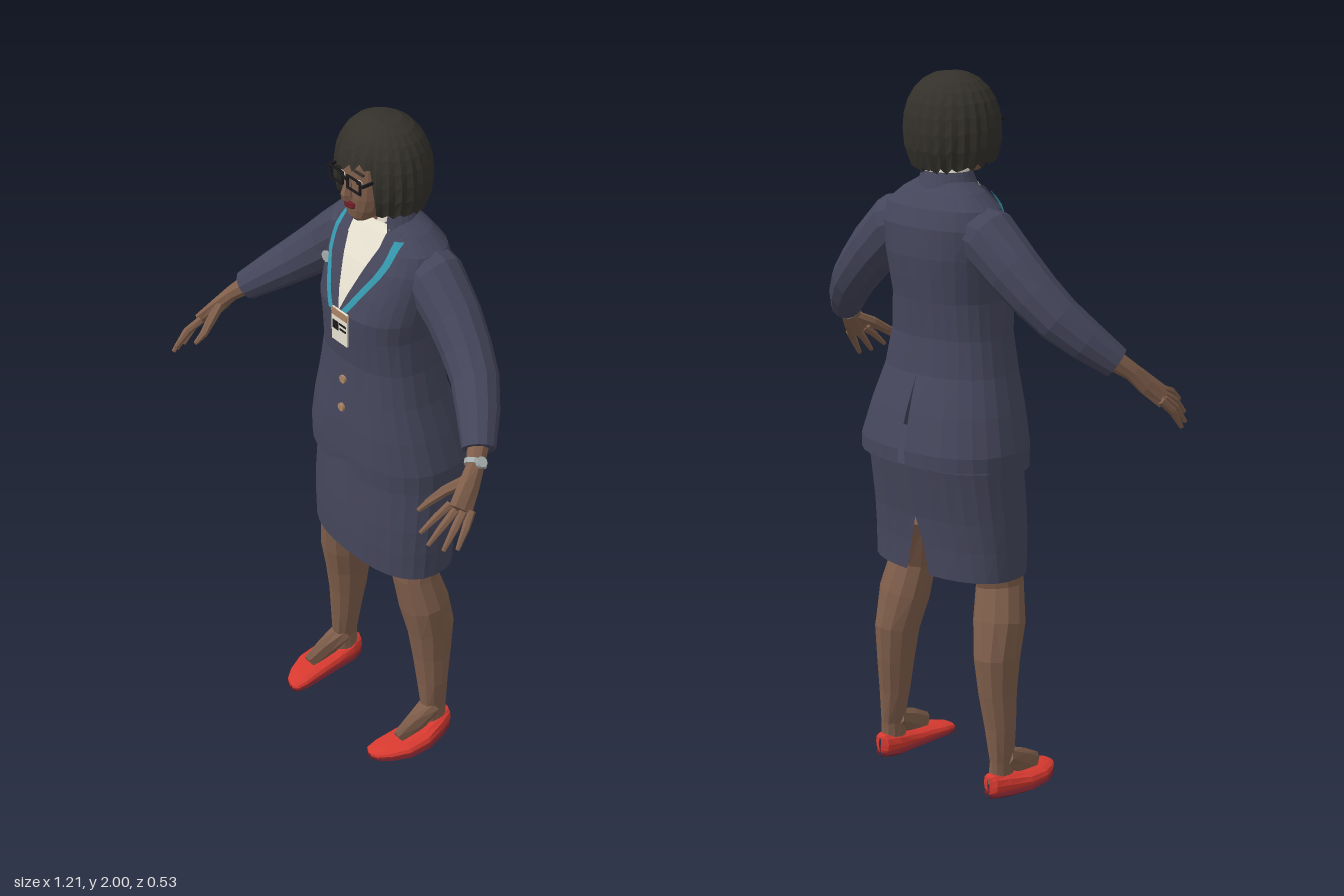
import * as THREE from 'three';

const mat = (name, color, side = THREE.FrontSide) =>
  Object.assign(new THREE.MeshStandardMaterial({ color, side }), { name });
const D = THREE.DoubleSide;

// Quad grid over u (to the right) and v (up), seen from its front, with flat facets
function grid(nu, nv, fn) {
  const pos = [], idx = [];
  for (let j = 0; j <= nv; j++) for (let i = 0; i <= nu; i++) pos.push(...fn(i / nu, j / nv, i, j));
  for (let j = 0; j < nv; j++) for (let i = 0; i < nu; i++) {
    const a = j * (nu + 1) + i, b = a + nu + 1;
    idx.push(a, a + 1, b + 1, a, b + 1, b);
  }
  const g = new THREE.BufferGeometry();
  g.setAttribute('position', new THREE.Float32BufferAttribute(pos, 3));
  g.setIndex(idx);
  const flat = g.toNonIndexed();
  flat.computeVertexNormals();
  return flat;
}

// Linear lookup in rows whose first entry is the key
function at(rows, k) {
  let i = 0;
  while (i < rows.length - 2 && k > rows[i + 1][0]) i++;
  const t = THREE.MathUtils.clamp((k - rows[i][0]) / (rows[i + 1][0] - rows[i][0]), 0, 1);
  return rows[i].map((a, n) => a + (rows[i + 1][n] - a) * t);
}

// Point on a rounded horizontal section: row is [y, halfWidth, zFront, zBack]
const N = 2.4, pw = (c) => Math.sign(c) * Math.abs(c) ** (2 / N);
const onRow = ([y, w, f, b], a) => [w * pw(Math.sin(a)), y, (f + b) / 2 + (f - b) / 2 * pw(Math.cos(a))];

// Upright body through rows, with an optional slit gap(y) at the back
const body = (rows, sides, gap = () => 0, edit = (p) => p) => grid(sides, rows.length - 1, (u, v, i, j) =>
  edit(onRow(rows[j], (u * 2 - 1) * (Math.PI - gap(rows[j][0]))), j));

// Capped limb through [x, y, z, r1, r2] points, rings square to the path
function limb(pts, sides = 10) {
  const c = pts.map((p) => new THREE.Vector3(p[0], p[1], p[2])), n = pts.length;
  return grid(sides, n + 1, (s, v, i, j) => {
    const k = THREE.MathUtils.clamp(j - 1, 0, n - 1), cap = j === 0 || j === n + 1 ? 0 : 1;
    const t = c[Math.min(k + 1, n - 1)].clone().sub(c[Math.max(k - 1, 0)]).normalize();
    const a = new THREE.Vector3(0, 0, 1).cross(t).normalize(), b = t.clone().cross(a);
    const [, , , r1, r2 = r1] = pts[k], q = s * Math.PI * 2;
    return c[k].clone().addScaledVector(a, cap * r1 * Math.cos(q)).addScaledVector(b, cap * r2 * Math.sin(q)).toArray();
  });
}

export function createModel() {
  const navy = mat('navy cloth', 0x45465b, D), skin = mat('brown skin', 0x7f5e4b);
  const hairM = mat('dark hair', 0x34312b, D), red = mat('red leather', 0xd83a30);
  const dark = mat('dark red', 0x6a1d26), cream = mat('cream shirt', 0xe6e0d0, D);
  const teal = mat('teal ribbon', 0x3597ac, D), black = mat('black', 0x1a1a1d);
  const grey = mat('silver', 0xa4abab), tan = mat('tan', 0xa98566);
  const model = new THREE.Group();
  model.name = 'woman';
  const add = (name, geo, m, parent = model) => {
    const mesh = new THREE.Mesh(geo, m);
    mesh.name = name;
    parent.add(mesh);
    return mesh;
  };
  const box = (name, w, h, d, x, y, z, m) => add(name, new THREE.BoxGeometry(w, h, d).translate(x, y, z), m);

  // Jacket, with cutaway front hem and back vent
  const torso = [[0.94, 0.25, 0.09, -0.262], [1.0, 0.25, 0.092, -0.262], [1.1, 0.225, 0.09, -0.235],
    [1.2, 0.195, 0.083, -0.2], [1.3, 0.175, 0.077, -0.186], [1.4, 0.167, 0.088, -0.192], [1.46, 0.175, 0.092, -0.2],
    [1.52, 0.18, 0.073, -0.207], [1.6, 0.187, 0.038, -0.205], [1.65, 0.175, 0.01, -0.188],
    [1.69, 0.125, -0.012, -0.16], [1.72, 0.07, -0.03, -0.135]];
  add('jacket', body(torso, 28, (y) => Math.max(0, 0.03 * (1.2 - y) / 0.26), ([x, y, z], j) =>
    [x, j ? y : y + (z > 0 ? 0.035 * Math.max(0, 1 - Math.abs(x) / 0.07) : z < -0.15 ? 0.02 : 0), z]), navy);

  // Skirt with back slit
  add('skirt', body([[0.635, 0.24, 0.072, -0.198], [0.72, 0.241, 0.075, -0.2], [0.8, 0.241, 0.075, -0.207],
    [0.95, 0.236, 0.07, -0.235], [1.05, 0.2, 0.05, -0.2]], 28, (y) => Math.max(0, 0.12 * (0.8 - y) / 0.165)), navy);

  // Thin plates lying on the chest
  const chestZ = (x, y) => {
    const [, w, f, b] = at(torso, y);
    return (f + b) / 2 + (f - b) / 2 * Math.max(0, 1 - Math.abs(x / w) ** N) ** (1 / N);
  };
  const plate = (name, y0, y1, left, right, off, m) => add(name, grid(6, 12, (u, v) => {
    const y = y0 + (y1 - y0) * v, x = left(y) + (right(y) - left(y)) * u;
    return [x, y, chestZ(x, y) + off];
  }), m);
  const open = (y) => 0.065 * Math.min(1, Math.max(0, (y - 1.46) / 0.2));
  const lapel = [[1.46, 0.012], [1.59, 0.075], [1.6, 0.05], [1.63, 0.06], [1.7, 0.035]];
  const ribbon = [[1.47, 0.022], [1.5, 0.042], [1.6, 0.098], [1.64, 0.11], [1.685, 0.108]];
  plate('shirtFront', 1.46, 1.71, (y) => -open(y), open, 0.006, cream);
  for (const s of [-1, 1]) {
    const span = (a, b) => (s > 0 ? [a, b] : [(y) => -b(y), (y) => -a(y)]);
    plate('lapel', 1.46, 1.7, ...span(open, (y) => open(y) + at(lapel, y)[1]), 0.011, navy);
    plate('lanyard', 1.47, 1.685, ...span((y) => at(ribbon, y)[1] - 0.01, (y) => at(ribbon, y)[1] + 0.01), 0.017, teal);
    plate('shirtCollarPoint', 1.655, 1.705, ...span((y) => 0.006 + (1.705 - y) * 0.5, () => 0.058), 0.013, cream);
  }

  // Collars standing around the neck
  const collar = (name, from, y0, y1, r0, r1, m) => add(name, grid(18, 1, (u, v) => {
    const a = from + (Math.PI * 2 - 2 * from) * u, r = r0 + (r1 - r0) * v;
    return [r * Math.sin(a), y0 + (y1 - y0) * v, -0.075 + r * Math.cos(a) * 0.9];
  }), m);
  collar('jacketCollar', 0.75, 1.685, 1.74, 0.094, 0.07, navy);
  collar('shirtCollar', 0.3, 1.69, 1.748, 0.07, 0.06, cream);

  // Badge, brooch and buttons
  box('badge', 0.064, 0.1, 0.006, 0.018, 1.43, 0.106, cream);
  box('badgeTop', 0.064, 0.022, 0.008, 0.018, 1.469, 0.106, tan);
  box('badgePhoto', 0.022, 0.026, 0.009, 0.003, 1.43, 0.106, black);
  for (const y of [1.44, 1.425]) box('badgeLine', 0.026, 0.006, 0.009, 0.033, y, 0.106, black);
  const disc = (name, r, x, y, z, m) => add(name, new THREE.CylinderGeometry(r, r, 0.008, 8).rotateX(Math.PI / 2).translate(x, y, z), m);
  disc('brooch', 0.016, -0.105, 1.567, chestZ(-0.105, 1.567) + 0.016, grey);
  for (const y of [1.24, 1.15]) disc('button', 0.012, 0, y, chestZ(0, y) + 0.003, tan);

  // Neck and head
  add('neck', limb([[0, 1.62, -0.085, 0.06], [0, 1.7, -0.068, 0.05], [0, 1.8, -0.05, 0.05]]), skin);
  add('head', body([[1.724, 0.001, 0.02, 0.018], [1.727, 0.022, 0.042, -0.01], [1.74, 0.04, 0.052, -0.04],
    [1.765, 0.057, 0.057, -0.08], [1.8, 0.069, 0.06, -0.12], [1.85, 0.074, 0.058, -0.13], [1.9, 0.075, 0.056, -0.13],
    [1.95, 0.055, 0.02, -0.11], [1.96, 0.001, -0.04, -0.042]], 18), skin);
  add('nose', limb([[0, 1.802, 0.062, 0.018, 0.018], [0, 1.812, 0.067, 0.015, 0.017], [0, 1.855, 0.056, 0.007, 0.012]], 6), skin);
  add('upperLip', new THREE.SphereGeometry(1, 8, 6).scale(0.025, 0.006, 0.009).translate(0, 1.784, 0.058), dark);
  add('lowerLip', new THREE.SphereGeometry(1, 8, 6).scale(0.021, 0.007, 0.01).translate(0, 1.775, 0.057), dark);

  // Eyes and glasses
  box('glassesBridge', 0.018, 0.006, 0.006, 0, 1.862, 0.074, black);
  for (const s of [-1, 1]) {
    add('eye', new THREE.SphereGeometry(1, 8, 6).scale(0.013, 0.006, 0.006).translate(s * 0.033, 1.855, 0.053), cream);
    add('iris', new THREE.SphereGeometry(0.0055, 8, 6).translate(s * 0.033, 1.855, 0.056), black);
    box('eyebrow', 0.036, 0.006, 0.006, s * 0.035, 1.883, 0.055, hairM);
    add('glassesRim', new THREE.TorusGeometry(0.036, 0.005, 4, 4).rotateZ(Math.PI / 4)
      .scale(1, 0.68, 1).translate(s * 0.035, 1.855, 0.072), black);
    box('glassesArm', 0.005, 0.008, 0.1, s * 0.071, 1.865, 0.024, black);
  }

  // Bobbed hair: ridged strands, cut short into a fringe over the face
  const strands = 48;
  add('hair', grid(strands, 9, (u, v, i, j) => {
    const a = (u * 2 - 1) * Math.PI, s = j === 0 ? 1 : 1 - (j - 1) / 8, k = i % strands;
    const side = THREE.MathUtils.smoothstep(Math.abs(a), 0.5, 0.66);
    const back = Math.max(0, -Math.cos(a)) * 0.022;
    const end = THREE.MathUtils.lerp(1.885 + 0.02 * Math.sin(2.5 * a), 1.765 - back, side) + 0.009 * Math.sin(k * 2.7);
    let y = 2 - (2 - end) * s ** 1.7;
    let f = y > 1.84 ? (1 - Math.min(1, (y - 1.84) / 0.16) ** 2.3) ** (1 / 2.3) : 1 - 0.2 * ((1.84 - y) / 0.1) ** 2;
    f *= 1 + (k % 2 ? 0.025 : -0.025) * s;
    if (j === 0) { f *= 0.8; y += 0.012; }
    return [0.138 * f * Math.sin(a), y, -0.055 + 0.12 * f * Math.cos(a)];
  }), hairM);

  // Arms, hands, legs and shoes, built on the left and mirrored
  const shoeRows = [[-0.14, 0.21, 0.004, 0.06], [-0.13, 0.21, 0.026, 0.07], [-0.09, 0.212, 0.042, 0.066], [-0.02, 0.22, 0.053, 0.052],
    [0.05, 0.216, 0.053, 0.044], [0.1, 0.203, 0.043, 0.037], [0.133, 0.192, 0.028, 0.03], [0.143, 0.188, 0.004, 0.02]];
  const shoe = (y0, height, grow) => grid(12, shoeRows.length - 1, (u, v, i, j) => {
    const [z, cx, w, h] = shoeRows[j], q = u * Math.PI * 2, top = height || h;
    return [cx + w * grow * pw(Math.cos(q)), y0 + (top - y0) * (0.5 + 0.5 * pw(Math.sin(q))), z];
  });
  for (const s of [1, -1]) {
    const half = new THREE.Group();
    half.name = s > 0 ? 'leftLimbs' : 'rightLimbs';
    half.scale.x = s;
    model.add(half);
    const part = (name, geo, m) => add(name, geo, m, half);

    part('sleeve', limb([[0.06, 1.61, -0.095, 0.07, 0.075], [0.165, 1.575, -0.093, 0.085, 0.08], [0.25, 1.5, -0.088, 0.077, 0.073],
      [0.315, 1.44, -0.075, 0.07, 0.068], [0.375, 1.385, -0.055, 0.064, 0.064], [0.435, 1.33, -0.015, 0.055, 0.058],
      [0.497, 1.272, 0.035, 0.043, 0.045]], 12), navy);
    part('hand', limb([[0.485, 1.285, 0.025, 0.03], [0.522, 1.245, 0.07, 0.022, 0.026], [0.54, 1.21, 0.105, 0.02, 0.034],
      [0.562, 1.17, 0.15, 0.016, 0.038]], 8), skin);
    // index to little finger: knuckle, then tip
    const fingers = [[0.541, 1.184, 0.168, 0.535, 1.135, 0.262], [0.556, 1.172, 0.162, 0.558, 1.105, 0.255],
      [0.568, 1.166, 0.147, 0.584, 1.088, 0.225], [0.577, 1.165, 0.126, 0.599, 1.083, 0.19]];
    for (const [x, y, z, X, Y, Z] of fingers) {
      part('finger', limb([[x, y, z, 0.012], [(x + X) / 2 + 0.004, (y + Y) / 2 + 0.008, (z + Z) / 2, 0.011], [X, Y, Z, 0.006]], 6), skin);
    }
    part('thumb', limb([[0.53, 1.225, 0.1, 0.015], [0.505, 1.2, 0.155, 0.014], [0.49, 1.175, 0.195, 0.011], [0.485, 1.16, 0.228, 0.006]], 6), skin);

    part('leg', limb([[0.207, 0.03, -0.085, 0.032, 0.042], [0.21, 0.1, -0.083, 0.027, 0.042], [0.203, 0.2, -0.083, 0.043, 0.048],
      [0.195, 0.3, -0.085, 0.051, 0.06], [0.19, 0.4, -0.083, 0.061, 0.072], [0.18, 0.5, -0.063, 0.075, 0.072],
      [0.164, 0.6, -0.043, 0.07, 0.064], [0.14, 0.75, -0.06, 0.085, 0.09]], 12), skin);
    part('foot', limb([[0.21, 0.105, -0.075, 0.035, 0.03], [0.213, 0.07, -0.01, 0.024, 0.04], [0.212, 0.04, 0.05, 0.016, 0.038]], 8), skin);
    part('shoe', shoe(0.008, 0, 1), red);
    part('sole', shoe(0, 0.014, 1.03), dark);
  }

  // Watch on the left wrist
  add('watchStrap', limb([[0.513, 1.255, 0.058, 0.028, 0.031], [0.52, 1.247, 0.067, 0.028, 0.031]], 10), grey);
  add('watchFace', new THREE.CylinderGeometry(0.015, 0.015, 0.012, 8).rotateZ(-0.7).translate(0.54, 1.268, 0.064), grey);
  return model;
}
